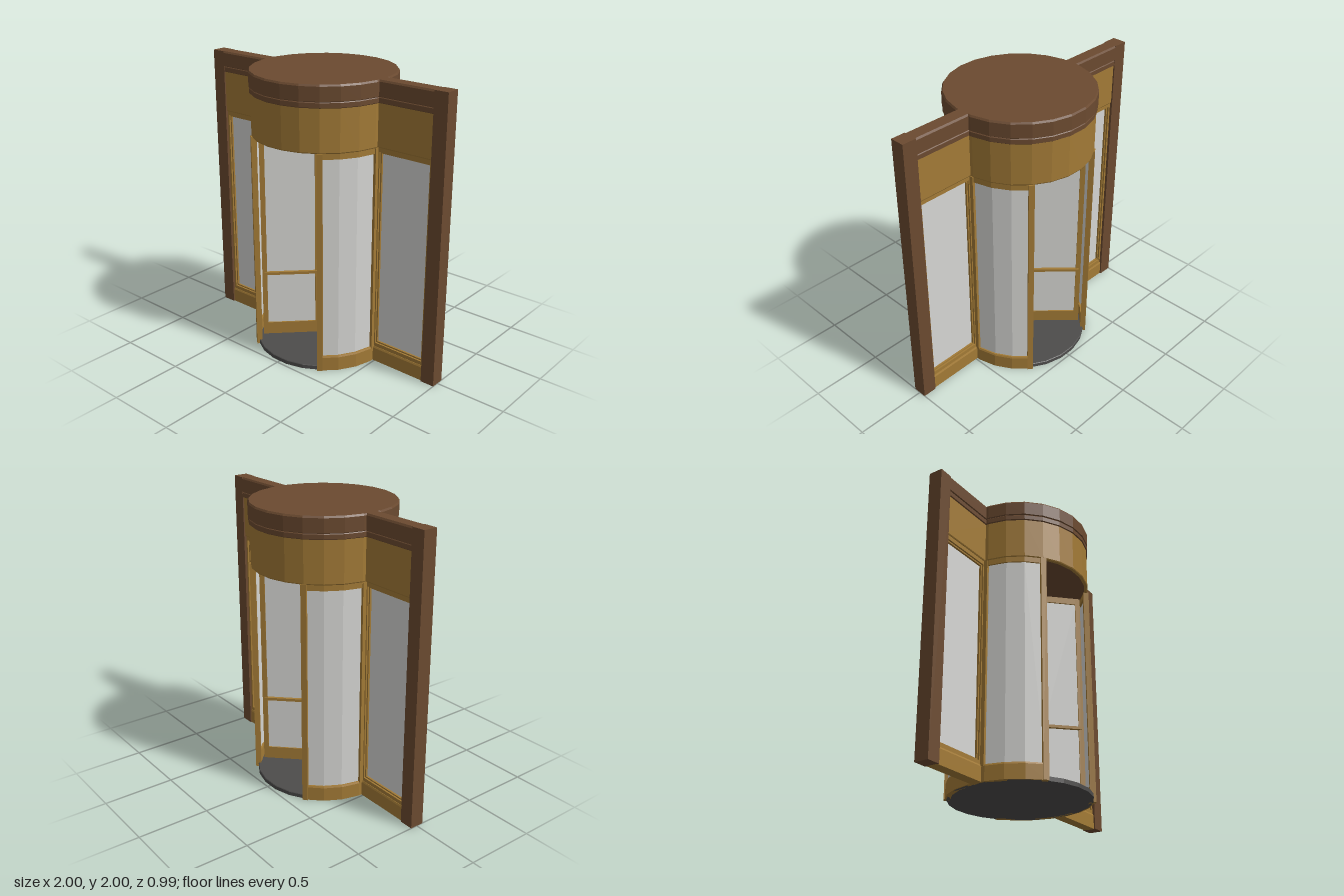
import * as THREE from 'three';

const DEG = Math.PI / 180;

export function createModel() {
  const make = (name, color, extra = {}) => {
    const m = new THREE.MeshStandardMaterial({ color, flatShading: true, ...extra });
    m.name = name;
    return m;
  };
  const gold = make('goldenWood', 0xa27a36);
  const brown = make('brownWood', 0x6b4a30);
  const glass = make('glass', 0xd6d6d3, { side: THREE.DoubleSide });
  const floorGrey = make('floorGrey', 0x4d4c4b);

  const model = new THREE.Group();
  model.name = 'revolvingDoor';

  const add = (parent, name, geometry, material) => {
    const mesh = new THREE.Mesh(geometry, material);
    mesh.name = name;
    parent.add(mesh);
    return mesh;
  };
  const box = (parent, name, mat, x0, x1, y0, y1, d) => {
    const g = new THREE.BoxGeometry(x1 - x0, y1 - y0, 2 * d);
    g.translate((x0 + x1) / 2, (y0 + y1) / 2, 0);
    return add(parent, name, g, mat);
  };
  // Rectangular frame made of two stiles and two rails
  const frame = (parent, name, mat, x0, x1, y0, y1, d, left, right, bottom, top) => {
    box(parent, name + 'InnerStile', mat, x0, x0 + left, y0, y1, d);
    box(parent, name + 'OuterStile', mat, x1 - right, x1, y0, y1, d);
    box(parent, name + 'BottomRail', mat, x0 + left, x1 - right, y0, y0 + bottom, d);
    box(parent, name + 'TopRail', mat, x0 + left, x1 - right, y1 - top, y1, d);
  };
  const lathe = (pts, segs, start, sweep) => new THREE.LatheGeometry(
    pts.map(([r, y]) => new THREE.Vector2(r, y)), segs, start * DEG, sweep * DEG);
  const ring = (pts) => lathe(pts, 24, 7.5, 360);
  const arc = (pts) => lathe(pts, 7, 37.5, 105);

  // Moulding profiles [half depth, height], shared by straight walls and round canopy
  const cornice = [[0.04, 1.85], [0.047, 1.855], [0.047, 1.885], [0.043, 1.89],
    [0.05, 1.895], [0.05, 1.988], [0.042, 2]];
  const fascia = [[0.036, 1.558], [0.04, 1.565], [0.04, 1.85]];
  const plinth = [[0.04, 0], [0.04, 0.098], [0.035, 0.11]];
  const round = (profile) => profile.map(([d, y]) => [0.45 + d, y]);
  const straight = (profile, x0, x1) => {
    const mirrored = profile.map(([d, y]) => [-d, y]).reverse();
    const shape = new THREE.Shape(
      [...profile, ...mirrored].map(([d, y]) => new THREE.Vector2(d, y)));
    const g = new THREE.ExtrudeGeometry(shape, { depth: x1 - x0, bevelEnabled: false });
    return g.rotateY(Math.PI / 2).translate(x0, 0, 0);
  };

  // Round canopy, ceiling and floor
  add(model, 'canopyCornice', ring([...round(cornice), [0, 2]]), brown);
  add(model, 'canopyFascia', ring([[0.465, 1.558], ...round(fascia)]), gold);
  add(model, 'ceiling', ring([[0, 1.56], [0.47, 1.56]]), brown);
  add(model, 'floor', ring([[0, 0], [0.48, 0], [0.48, 0.026], [0.476, 0.03], [0, 0.03]]), floorGrey);

  // Each side: straight wall, end post, curved wall and door jambs
  for (const side of [0, 1]) {
    const wing = new THREE.Group();
    wing.name = side ? 'rightSide' : 'leftSide';
    wing.rotation.y = side * Math.PI;
    model.add(wing);

    box(wing, 'endPost', brown, 0.9, 1, 0, 2, 0.05);
    add(wing, 'wallCornice', straight(cornice, 0.45, 0.905), brown);
    add(wing, 'wallFascia', straight(fascia, 0.47, 0.905), gold);
    add(wing, 'wallPlinth', straight(plinth, 0.47, 0.905), gold);
    frame(wing, 'window', gold, 0.47, 0.9, 0.11, 1.558, 0.032, 0.027, 0.015, 0.027, 0.03);
    frame(wing, 'windowBead', gold, 0.497, 0.885, 0.137, 1.528, 0.02, 0.01, 0.01, 0.01, 0.01);
    box(wing, 'windowGlass', glass, 0.506, 0.876, 0.146, 1.519, 0.006);

    add(wing, 'curvedPlinth', arc([[0.455, 0], ...round(plinth), [0.46, 0.11], [0.455, 0]]), gold);
    add(wing, 'curvedTopRail',
      arc([[0.46, 1.52], [0.486, 1.52], [0.486, 1.56], [0.46, 1.56], [0.46, 1.52]]), gold);
    add(wing, 'curvedGlass', arc([[0.475, 0.11], [0.475, 1.52]]), glass);
    box(wing, 'junctionStile', gold, 0.455, 0.489, 0.1, 1.558, 0.06);

    for (const s of [-1, 1]) {
      const jamb = box(wing, 'doorJamb', gold, -0.019, 0.019, 0, 1.56, 0.019);
      jamb.position.set(0.29, 0, s * 0.379);
      jamb.rotation.y = -s * 52.5 * DEG;
    }
  }

  // Four revolving leaves around a central shaft
  const leaves = new THREE.Group();
  leaves.name = 'revolvingLeaves';
  model.add(leaves);
  add(leaves, 'shaft', new THREE.CylinderGeometry(0.016, 0.016, 1.53, 12).translate(0, 0.795, 0), gold);
  for (let i = 0; i < 4; i++) {
    const leaf = new THREE.Group();
    leaf.name = 'doorLeaf';
    leaf.rotation.y = (45 + 90 * i) * DEG;
    leaves.add(leaf);
    frame(leaf, 'leaf', gold, 0.018, 0.44, 0.04, 1.537, 0.014, 0.044, 0.035, 0.09, 0.047);
    box(leaf, 'leafGlass', glass, 0.06, 0.407, 0.128, 1.492, 0.004);
    box(leaf, 'pushBar', gold, 0.04, 0.425, 0.518, 0.538, 0.026);
  }
  return model;
}
